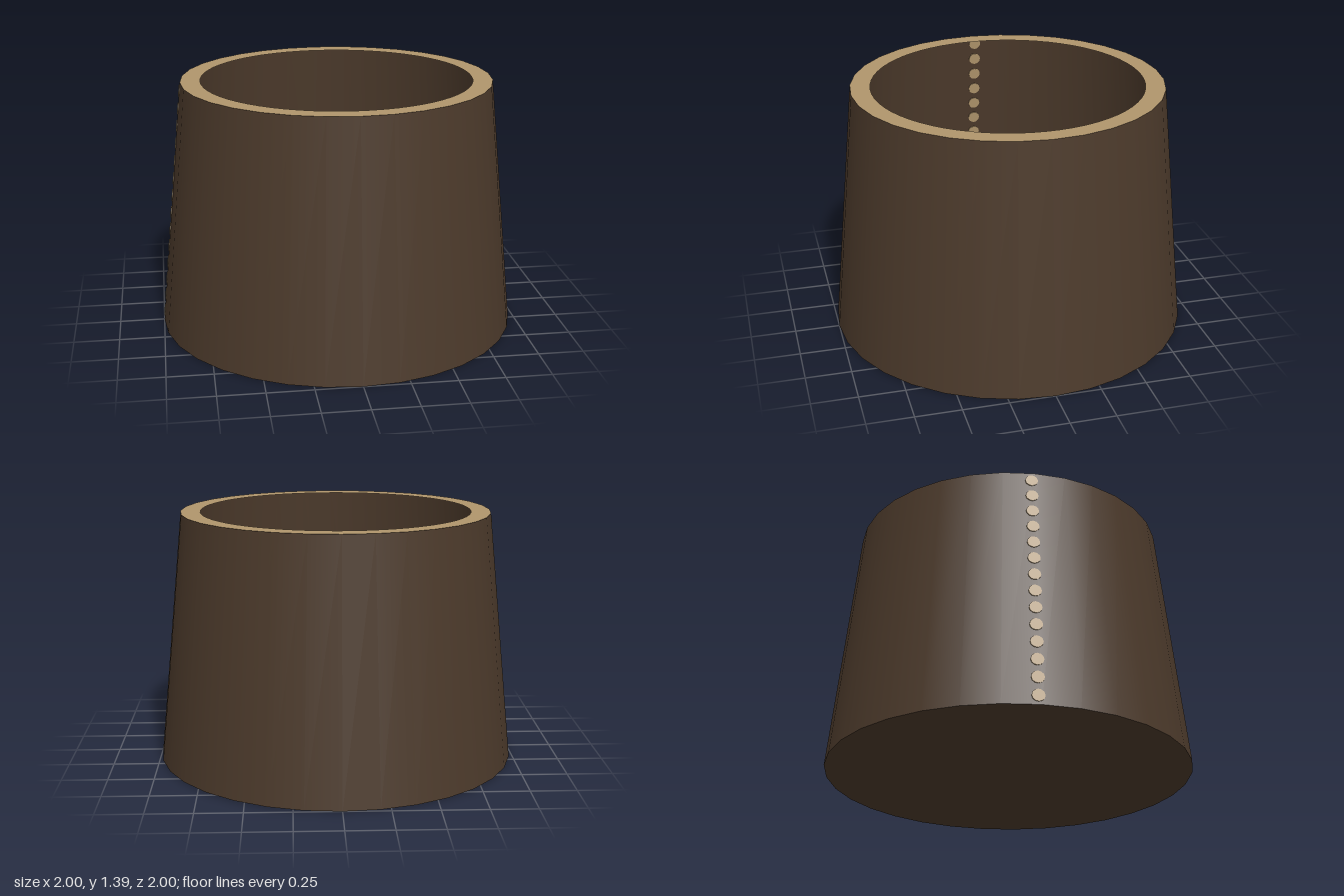
import * as THREE from 'three';

const HEIGHT = 1.39, R_TOP = 0.86, R_BOTTOM = 1, SIDES = 32;

export function createModel() {
  const group = new THREE.Group();
  const brown = new THREE.MeshStandardMaterial({ color: 0x4c3a2b, side: THREE.DoubleSide });
  brown.name = 'dark brown';
  const tan = new THREE.MeshStandardMaterial({ color: 0xb0956c, side: THREE.DoubleSide });
  tan.name = 'tan';

  const add = (name, geometry, material, y = 0) => {
    const mesh = new THREE.Mesh(geometry, material);
    mesh.name = name;
    mesh.position.y = y;
    group.add(mesh);
    return mesh;
  };

  // Tapered wall, open at the top
  add('wall', new THREE.CylinderGeometry(R_TOP, R_BOTTOM, HEIGHT, SIDES, 1, true), brown, HEIGHT / 2);

  // Closed base, also seen from inside as the floor
  add('base', new THREE.CircleGeometry(R_BOTTOM, SIDES).rotateX(Math.PI / 2), brown);

  // Flat ring around the opening: outer edge follows the wall's sides
  const ring = new THREE.Shape();
  for (let i = 0; i < SIDES; i++) {
    const a = (i / SIDES) * Math.PI * 2;
    ring[i ? 'lineTo' : 'moveTo'](Math.cos(a) * R_TOP, Math.sin(a) * R_TOP);
  }
  ring.holes.push(new THREE.Path().absarc(0, 0, 0.75, 0, Math.PI * 2, true));
  add('rim', new THREE.ShapeGeometry(ring, 32).rotateX(-Math.PI / 2), tan, HEIGHT);

  // Row of thin studs up one side, showing on both faces of the wall
  const studs = new THREE.Group();
  studs.name = 'studs';
  const tilt = Math.atan((R_BOTTOM - R_TOP) / HEIGHT);
  const studGeometry = new THREE.CylinderGeometry(0.034, 0.034, 0.009, 12).rotateZ(Math.PI / 2 - tilt);
  const count = 14;
  for (let i = 0; i < count; i++) {
    const t = (i + 0.5) / count;
    const stud = new THREE.Mesh(studGeometry, tan);
    stud.name = 'stud';
    stud.position.set(-(THREE.MathUtils.lerp(R_BOTTOM, R_TOP, t) - 0.002), t * HEIGHT, -0.015);
    studs.add(stud);
  }
  group.add(studs);

  return group;
}
